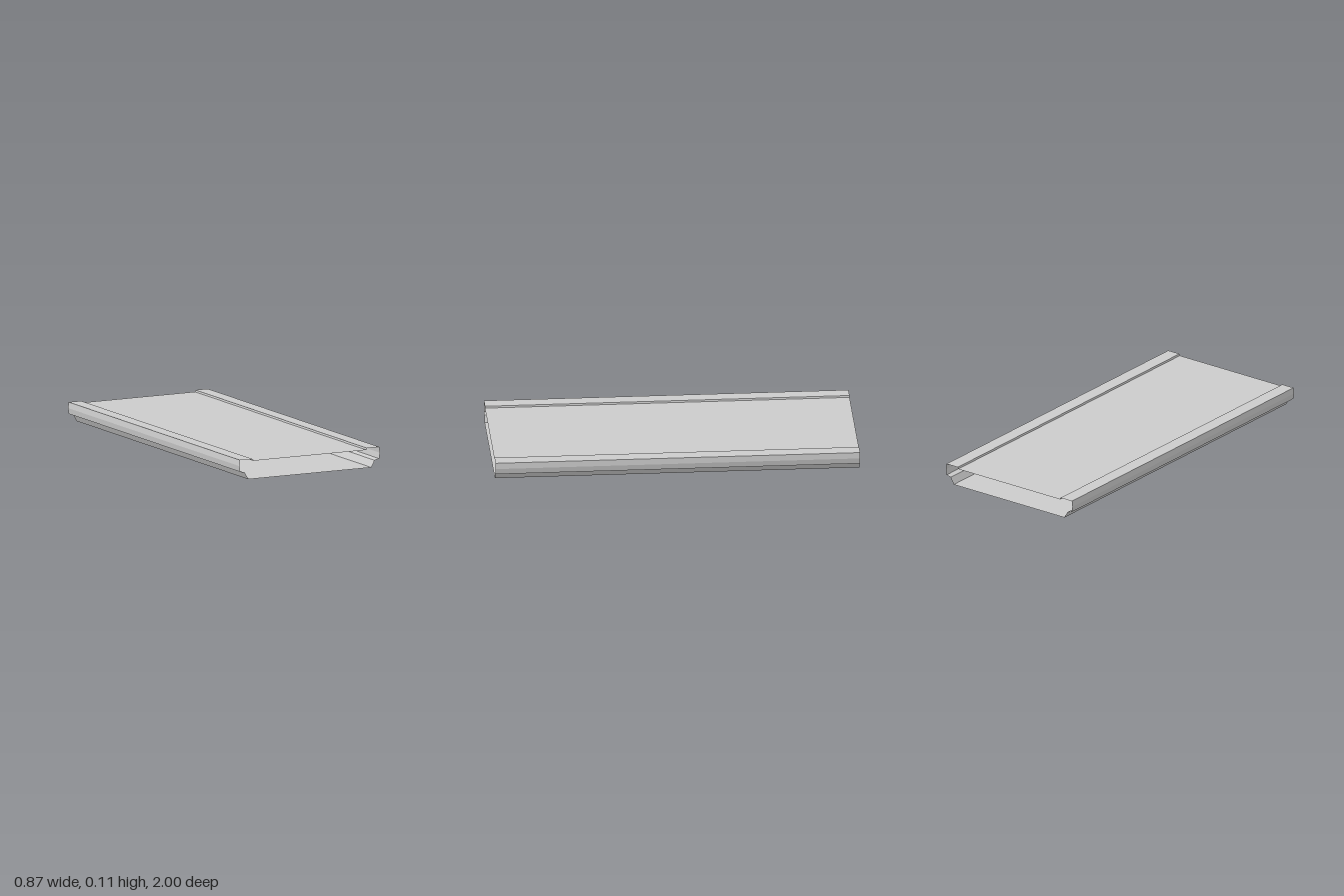
import * as THREE from 'three';

const HALF_LENGTH = 1;
const material = new THREE.MeshStandardMaterial({ color: 0xcccccc, flatShading: true, side: THREE.DoubleSide });

// Sweeps an open sheet profile of [x, y] points along z, one flat strip per segment
function sheet(name, profile) {
  const positions = [];
  for (let i = 0; i < profile.length - 1; i++) {
    const [ax, ay] = profile[i];
    const [bx, by] = profile[i + 1];
    const a0 = [ax, ay, HALF_LENGTH], a1 = [ax, ay, -HALF_LENGTH];
    const b0 = [bx, by, HALF_LENGTH], b1 = [bx, by, -HALF_LENGTH];
    positions.push(...a0, ...a1, ...b1, ...a0, ...b1, ...b0);
  }
  const geometry = new THREE.BufferGeometry();
  geometry.setAttribute('position', new THREE.Float32BufferAttribute(positions, 3));
  geometry.computeVertexNormals();
  const mesh = new THREE.Mesh(geometry, material);
  mesh.name = name;
  return mesh;
}

export function createModel() {
  const group = new THREE.Group();
  group.name = 'hollowPlank';

  // Side profile from the bottom panel up to the recessed top panel
  const side = [
    [0.381, 0], [0.402, 0.038], [0.43, 0.045], [0.435, 0.077],
    [0.431, 0.11], [0.354, 0.11], [0.351, 0.1],
  ];
  const mirrored = side.map(([x, y]) => [-x, y]).reverse();

  group.add(sheet('leftRail', side));
  group.add(sheet('rightRail', mirrored));

  // Flat panels between the rails; both ends stay open
  group.add(sheet('topPanel', [[0.351, 0.1], [-0.351, 0.1]]));
  group.add(sheet('bottomPanel', [[-0.381, 0], [0.381, 0]]));
  return group;
}
